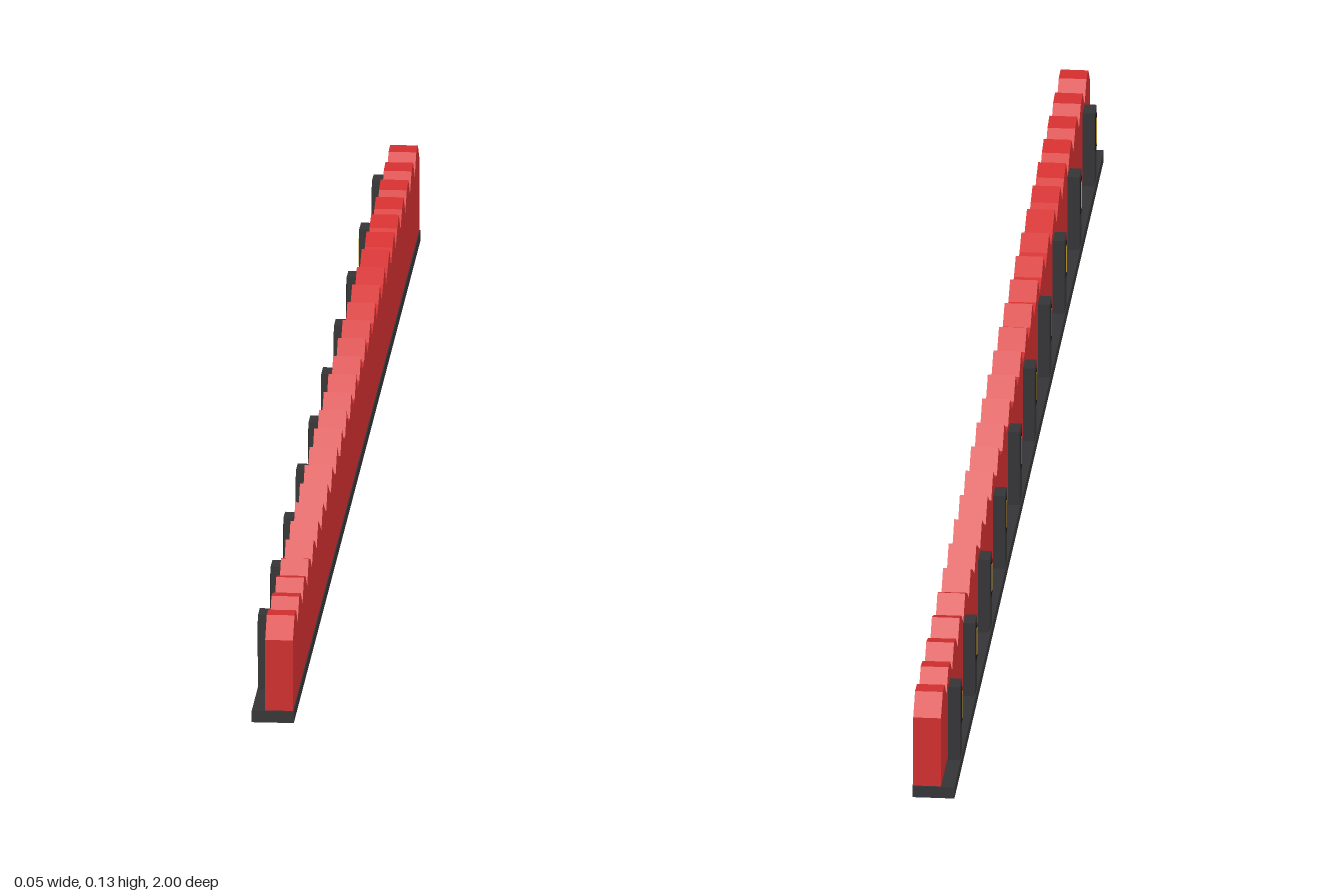
import * as THREE from 'three';

const red = new THREE.MeshStandardMaterial({ name: 'red panel', color: 0xd32f2f });
const charcoal = new THREE.MeshStandardMaterial({ name: 'charcoal frame', color: 0x363638 });
const black = new THREE.MeshStandardMaterial({ name: 'black plate', color: 0x161616 });
const gold = new THREE.MeshStandardMaterial({ name: 'gold strip', color: 0xc9a032 });

// Box given by its minimum and maximum corners
function box(name, material, min, max) {
  const size = max.map((v, i) => v - min[i]);
  const mesh = new THREE.Mesh(new THREE.BoxGeometry(...size), material);
  mesh.position.set(...max.map((v, i) => (v + min[i]) / 2));
  mesh.name = name;
  return mesh;
}

// Long wall whose top edge is a coarsely sampled wave
function wavyWall() {
  const waves = 27, segments = 80, bottom = 0.015, middle = 0.1175, height = 0.0155;
  const shape = new THREE.Shape();
  shape.moveTo(-1, bottom);
  shape.lineTo(1, bottom);
  for (let i = segments; i >= 0; i--) {
    const t = i / segments;
    shape.lineTo(2 * t - 1, middle - height * Math.cos(2 * Math.PI * waves * t));
  }
  shape.closePath();
  const geometry = new THREE.ExtrudeGeometry(shape, { depth: 0.033, bevelEnabled: false });
  geometry.rotateY(Math.PI / 2);
  geometry.translate(-0.009, 0, 0);
  const mesh = new THREE.Mesh(geometry, red);
  mesh.name = 'wavyWall';
  return mesh;
}

// Support post with a dark plate and a gold strip on its outer face
function supportPost(z) {
  const post = new THREE.Group();
  post.name = 'supportPost';
  post.add(
    box('postBody', charcoal, [-0.024, 0.013, -0.014], [-0.01, 0.107, 0.014]),
    box('postPlate', black, [-0.0246, 0.055, -0.003], [-0.0238, 0.098, 0.012]),
    box('postStrip', gold, [-0.025, 0.06, 0.003], [-0.0244, 0.094, 0.008])
  );
  post.position.z = z;
  return post;
}

export function createModel() {
  const model = new THREE.Group();
  model.name = 'wavyBarrier';
  model.add(box('base', charcoal, [-0.025, 0, -1], [0.025, 0.014, 1]), wavyWall());
  for (let i = 0; i < 10; i++) model.add(supportPost(-0.9 + 0.2 * i));
  return model;
}
